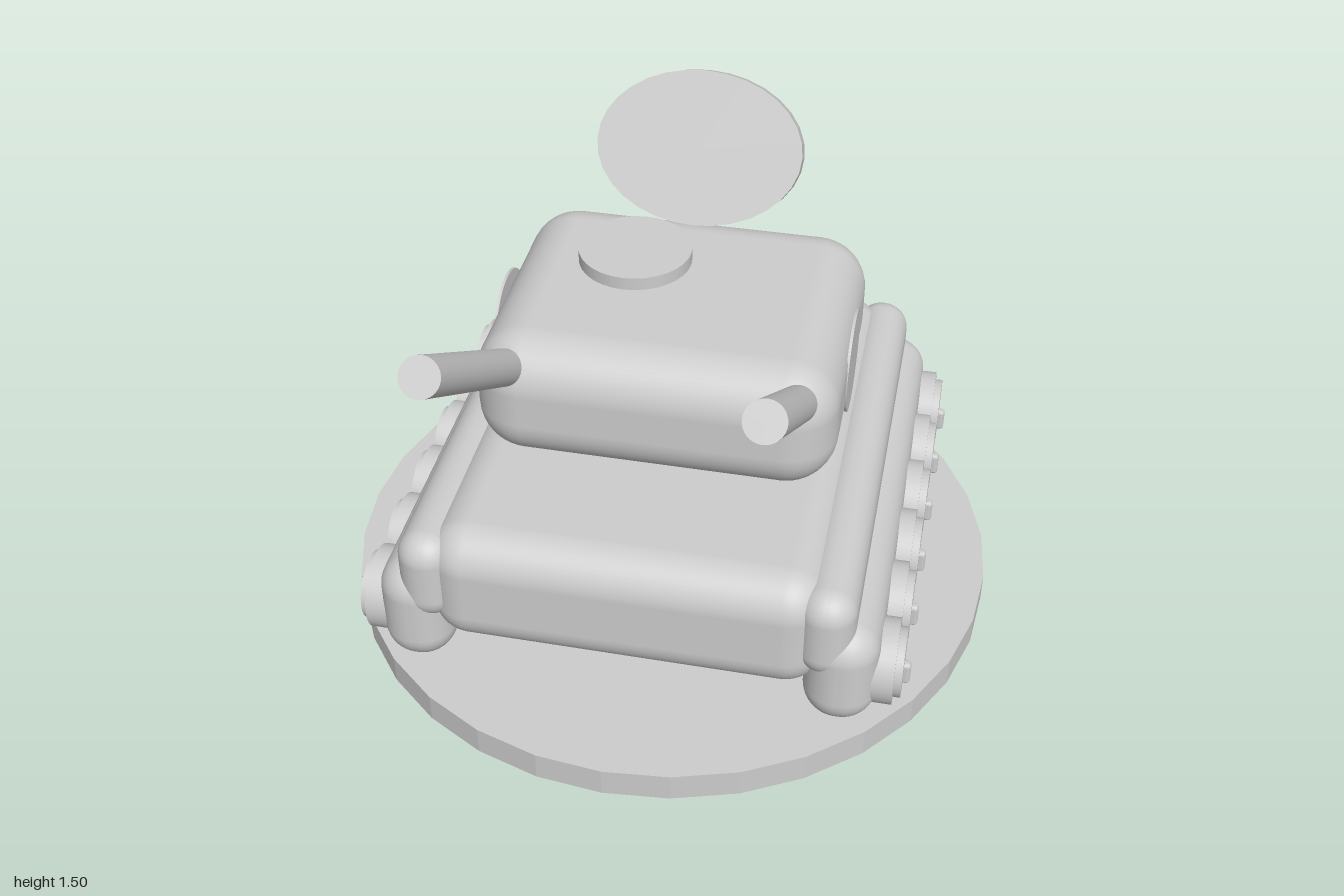
import * as THREE from 'three';
import { RoundedBoxGeometry } from 'three/addons/geometries/RoundedBoxGeometry.js';

const grey = new THREE.MeshStandardMaterial({ color: 0xcccccc });
grey.name = 'plain grey';

export function createModel() {
  const model = new THREE.Group();
  model.name = 'toyTank';

  const add = (name, geometry, x, y, z) => {
    const mesh = new THREE.Mesh(geometry, grey);
    mesh.name = name;
    mesh.position.set(x, y, z);
    model.add(mesh);
    return mesh;
  };
  const box = (name, w, h, d, r, x, y, z) =>
    add(name, new RoundedBoxGeometry(w, h, d, 6, r), x, y, z);
  const disc = (r, h, sides = 32) => new THREE.CylinderGeometry(r, r, h, sides);
  // Faceted rim
  const facetedDisc = (r, h) => {
    const g = disc(r, h).toNonIndexed();
    g.computeVertexNormals();
    return g;
  };

  // Stand, hull and turret
  add('base', facetedDisc(0.99, 0.09), 0, 0.045, 0);
  box('hull', 1.14, 0.39, 1.5, 0.12, 0, 0.43, 0);
  box('turret', 1.05, 0.4, 0.88, 0.15, 0, 0.815, -0.07);
  add('hatch', disc(0.17, 0.07), -0.15, 1.02, -0.18);

  // Oval dish, leaning back
  const dish = add('dish', facetedDisc(0.31, 0.06), 0, 1.277, -0.413);
  dish.scale.z = 0.23 / 0.31;
  dish.rotation.x = 1.12;

  for (const side of [-1, 1]) {
    const label = side > 0 ? 'left' : 'right';
    box(label + 'Track', 0.21, 0.345, 1.5, 0.1, side * 0.615, 0.3025, 0);
    box(label + 'Fender', 0.165, 0.29, 1.5, 0.08, side * 0.568, 0.455, 0);

    // Round plate on the turret side
    const plate = add(label + 'TurretPlate', disc(0.155, 0.008), side * 0.524, 0.81, -0.08);
    plate.rotation.z = -side * Math.PI / 2;

    // Raised gun barrel
    const start = new THREE.Vector3(side * 0.415, 0.9, 0.27);
    const tip = new THREE.Vector3(side * 0.415, 1.383, 0.966);
    const along = tip.clone().sub(start);
    const mid = start.clone().addScaledVector(along, 0.5);
    const barrel = add(label + 'Barrel', disc(0.054, along.length()), mid.x, mid.y, mid.z);
    barrel.quaternion.setFromUnitVectors(new THREE.Vector3(0, 1, 0), along.normalize());

    // Road wheels with hub cap and peg
    for (let i = 0; i < 6; i++) {
      const z = 0.583 - i * 0.2333;
      const wheel = add(label + 'Wheel', disc(0.123, 0.085), side * 0.7225, 0.272, z);
      const hub = add(label + 'Hub', disc(0.1, 0.04), side * 0.767, 0.272, z);
      wheel.rotation.z = hub.rotation.z = -side * Math.PI / 2;
      box(label + 'Peg', 0.04, 0.075, 0.03, 0.012, side * 0.787, 0.235, z);
    }
  }
  return model;
}
